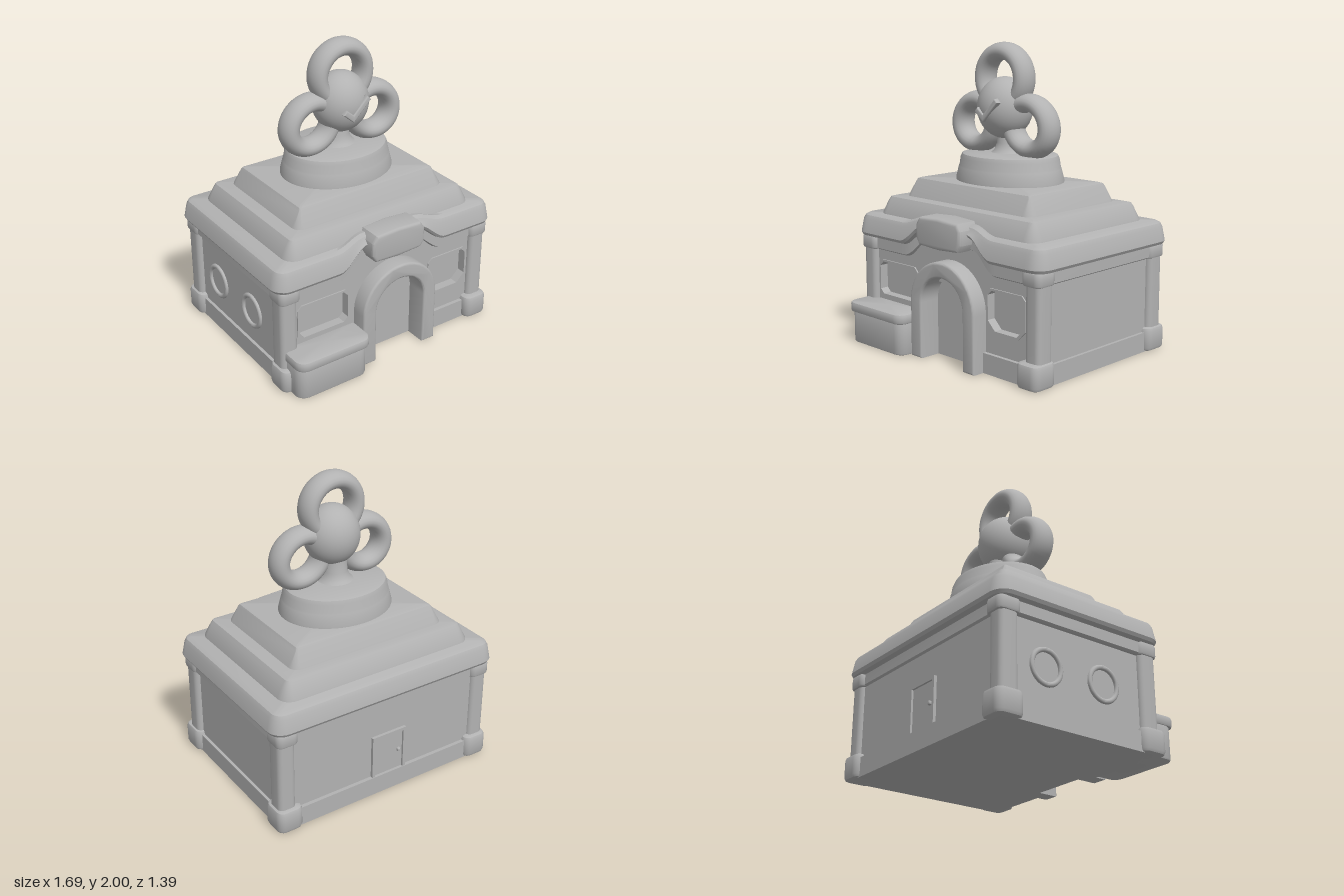
import * as THREE from 'three';
import { toCreasedNormals } from 'three/addons/utils/BufferGeometryUtils.js';

const stone = new THREE.MeshStandardMaterial({ color: 0xb2b2b2 });
stone.name = 'stone grey';

export function createModel() {
  const root = new THREE.Group();
  root.name = 'shrineBuilding';

  const add = (name, geo, x = 0, y = 0, z = 0, crease = 0.6) => {
    const mesh = new THREE.Mesh(toCreasedNormals(geo, crease), stone);
    mesh.name = name;
    mesh.position.set(x, y, z);
    root.add(mesh);
    return mesh;
  };
  const box = (name, x0, x1, y0, y1, z0, z1) =>
    add(name, new THREE.BoxGeometry(x1 - x0, y1 - y0, z1 - z0), (x0 + x1) / 2, (y0 + y1) / 2, (z0 + z1) / 2);

  // Stack of rounded rectangles; profile rows are [inset, y]
  function loft(hx, hz, r, profile, frontPoints = 0, rule = null) {
    const pos = [], idx = [];
    let n = 0;
    for (const [d, y] of profile) {
      const rr = Math.max(r - d, 0.012), cx = hx - d - rr, cz = hz - d - rr, ring = [];
      [[1, 1], [-1, 1], [-1, -1], [1, -1]].forEach(([sx, sz], c) => {
        for (let i = 0; i <= 6; i++) {
          const a = (c + i / 6) * Math.PI / 2;
          ring.push([sx * cx + rr * Math.cos(a), y, sz * cz + rr * Math.sin(a)]);
        }
        if (c === 0) for (let i = 1; i <= frontPoints; i++)
          ring.push([cx * (1 - 2 * i / (frontPoints + 1)), y, cz + rr]);
      });
      if (rule) ring.forEach(rule);
      n = ring.length;
      ring.forEach(p => pos.push(...p));
    }
    const rows = profile.length;
    for (let k = 0; k < rows - 1; k++) for (let i = 0; i < n; i++) {
      const a = k * n + i, b = k * n + (i + 1) % n;
      idx.push(a, a + n, b, b, a + n, b + n);
    }
    pos.push(0, profile[0][1], 0, 0, profile[rows - 1][1], 0);
    const low = rows * n, last = (rows - 1) * n;
    for (let i = 0; i < n; i++) {
      const j = (i + 1) % n;
      idx.push(low, i, j, low + 1, last + j, last + i);
    }
    const g = new THREE.BufferGeometry();
    g.setAttribute('position', new THREE.Float32BufferAttribute(pos, 3));
    g.setIndex(idx);
    return g;
  }
  const softBlock = (y0, y1, e) => [[e, y0], [e * 0.3, y0 + e * 0.3], [0, y0 + e], [0, y1 - e], [e * 0.3, y1 - e * 0.3], [e, y1]];

  const extrude = (shape, depth, bevel = 0) => {
    const g = new THREE.ExtrudeGeometry(shape, {
      depth: depth - 2 * bevel, bevelEnabled: bevel > 0, bevelSize: bevel, bevelThickness: bevel,
      bevelOffset: -bevel, bevelSegments: 3, curveSegments: 20
    });
    return g.translate(0, 0, bevel);
  };
  const poly = pts => new THREE.Shape(pts.map(p => new THREE.Vector2(...p)));
  // Rectangle with cut corners; low and high set the cut at bottom and top
  const panel = (x0, x1, y0, y1, low, high) => poly([
    [x0 + low, y0], [x1 - low, y0], [x1, y0 + low], [x1, y1 - high],
    [x1 - high, y1], [x0 + high, y1], [x0, y1 - high], [x0, y0 + low]]);
  const archShape = (cx, r, spring) => {
    const s = new THREE.Shape();
    s.moveTo(cx - r, 0);
    s.lineTo(cx + r, 0);
    s.lineTo(cx + r, spring);
    s.absarc(cx, spring, r, 0, Math.PI, false);
    s.closePath();
    return s;
  };

  // Walls, with recessed windows and doorway in the front
  box('wallCore', -0.77, 0.77, 0, 0.8, -0.64, 0.44);
  const windows = [[-0.66, -0.3, 0.32, 0.54, 0.03, 0.03], [0.36, 0.66, 0.28, 0.53, 0.06, 0.03]];
  const wall = poly([[-0.75, 0], [-0.15, 0], [-0.15, 0.5], [0.24, 0.5], [0.24, 0], [0.75, 0], [0.75, 0.84], [-0.75, 0.84]]);
  windows.forEach(w => wall.holes.push(panel(...w)));
  add('frontWall', extrude(wall, 0.06), 0, 0, 0.43);
  for (const [a, b, c, d, low, high] of windows) {
    const frame = panel(a - 0.014, b + 0.014, c - 0.014, d + 0.014, low, high);
    frame.holes.push(panel(a, b, c, d, low, high));
    add('windowFrame', extrude(frame, 0.012), 0, 0, 0.487);
  }

  // Plinth and corner pillars
  box('plinth', -0.79, 0.79, 0, 0.13, -0.665, 0.44);
  box('frontPlinth', -0.79, -0.2, 0, 0.13, 0.42, 0.515);
  box('frontPlinth', 0.28, 0.79, 0, 0.13, 0.42, 0.515);
  for (const s of [-1, 1]) for (const z of [0.46, -0.6]) {
    add('pillar', loft(0.06, 0.065, 0.035, [[0, 0.1], [0, 0.66]]), s * 0.745, 0, z);
    add('pillarBase', loft(0.09, 0.095, 0.05, softBlock(0, 0.16, 0.025)), s * 0.735, 0, z + (z > 0 ? 0.015 : 0));
    add('pillarCap', loft(0.075, 0.08, 0.04, softBlock(0.62, 0.71, 0.015)), s * 0.74, 0, z);
  }

  // Cornice that lifts over the doorway
  const lift = p => {
    if (p[2] < 0.5) return;
    const b = 1 - THREE.MathUtils.smoothstep(Math.abs(p[0] - 0.02), 0.2, 0.41);
    p[1] += b * (p[1] < 0.75 ? 0.125 : 0.05);
    p[2] -= b * 0.02;
  };
  add('cornice', loft(0.845, 0.63, 0.1, [[0.06, 0.62], [0.045, 0.63], [0.045, 0.7], [0.012, 0.71], [0, 0.73],
    [0.018, 0.82], [0.032, 0.845], [0.06, 0.86]], 48, lift), 0, 0, -0.07, 0.5);

  // Stepped roof
  add('lowerRoofTier', loft(0.715, 0.535, 0.09, [[0, 0.84], [0.005, 0.87], [0.045, 0.95], [0.06, 0.972], [0.09, 0.98]]), 0, 0, -0.06);
  add('upperRoofTier', loft(0.575, 0.415, 0.07, [[0, 0.97], [0.008, 0.99], [0.055, 1.08], [0.065, 1.097], [0.085, 1.104]]), 0, 0, -0.06);

  // Oval pedestal and neck
  const lathe = pts => new THREE.LatheGeometry(pts.map(p => new THREE.Vector2(...p)), 48);
  add('pedestal', lathe([[0, 1.09], [0.385, 1.09], [0.385, 1.115], [0.365, 1.19], [0.36, 1.2], [0.352, 1.25],
    [0.34, 1.275], [0.31, 1.285], [0, 1.29]]), 0, 0, -0.065).scale.z = 0.83;
  add('neck', lathe([[0.13, 1.28], [0.1, 1.3], [0.08, 1.35], [0.075, 1.45], [0, 1.45]]), 0, 0, -0.06, 1);

  // Three linked rings round a globe
  const ring = (name, x, y, angle, radius, stretch) => {
    const g = new THREE.TorusGeometry(radius, 0.058, 20, 48);
    g.scale(stretch, 1, 1.46);
    g.rotateZ(angle);
    add(name, g, x, y, -0.018, 1.2);
  };
  ring('topRing', 0, 1.77, 0, 0.172, 1);
  ring('rightRing', -0.232, 1.475, 0.5, 0.145, 1.09);
  ring('leftRing', 0.232, 1.475, -0.5, 0.145, 1.09);
  add('globe', new THREE.SphereGeometry(1, 36, 24), 0, 1.58, -0.02, 1.2).scale.set(0.187, 0.2, 0.178);
  add('tickMark', extrude(poly([[-0.095, 1.56], [-0.02, 1.495], [0.11, 1.625], [0.085, 1.65], [-0.02, 1.545], [-0.072, 1.588]]),
    0.04, 0.008), 0, 0, 0.126);

  // Door arch, keystone and front door
  const arch = poly([[0.335, 0], [0.335, 0.37]]);
  arch.absarc(0.045, 0.37, 0.29, 0, Math.PI, false);
  arch.lineTo(-0.245, 0);
  arch.lineTo(-0.145, 0);
  arch.lineTo(-0.145, 0.37);
  arch.absarc(0.045, 0.37, 0.19, Math.PI, 0, true);
  arch.lineTo(0.235, 0);
  add('doorArch', extrude(arch, 0.18, 0.015), 0, 0, 0.42);
  add('frontDoor', extrude(archShape(0.045, 0.2, 0.37), 0.03), 0, 0, 0.42);
  add('keystone', extrude(poly([[-0.155, 0.745], [0.02, 0.735], [0.195, 0.745], [0.222, 0.79], [0.22, 0.88], [0.19, 0.925],
    [0.02, 0.935], [-0.15, 0.925], [-0.18, 0.88], [-0.182, 0.79]]), 0.175, 0.02), 0, 0, 0.428);

  // Counter beside the door
  add('counterBody', loft(0.26, 0.12, 0.07, softBlock(0, 0.23, 0.012)), -0.515, 0, 0.555);
  add('counterTop', loft(0.272, 0.135, 0.07, softBlock(0.21, 0.28, 0.018)), -0.512, 0, 0.56);

  // Back door with frame and knob
  const backFrame = poly([[-0.13, 0.13], [0.13, 0.13], [0.13, 0.43], [-0.13, 0.43]]);
  backFrame.holes.push(poly([[-0.11, 0.13], [0.11, 0.13], [0.11, 0.41], [-0.11, 0.41]]));
  add('backDoorFrame', extrude(backFrame, 0.025), -0.02, 0, -0.66);
  box('backDoor', -0.13, 0.09, 0.13, 0.41, -0.646, -0.63);
  add('doorKnob', new THREE.SphereGeometry(0.015, 12, 8), -0.1, 0.27, -0.652, 1.2);

  // Round windows on the right wall
  for (const z of [-0.32, 0.11]) {
    const rim = add('roundWindowRim', new THREE.TorusGeometry(0.105, 0.016, 10, 36), -0.772, 0.36, z, 1.2);
    rim.rotation.y = Math.PI / 2;
  }
  return root;
}
